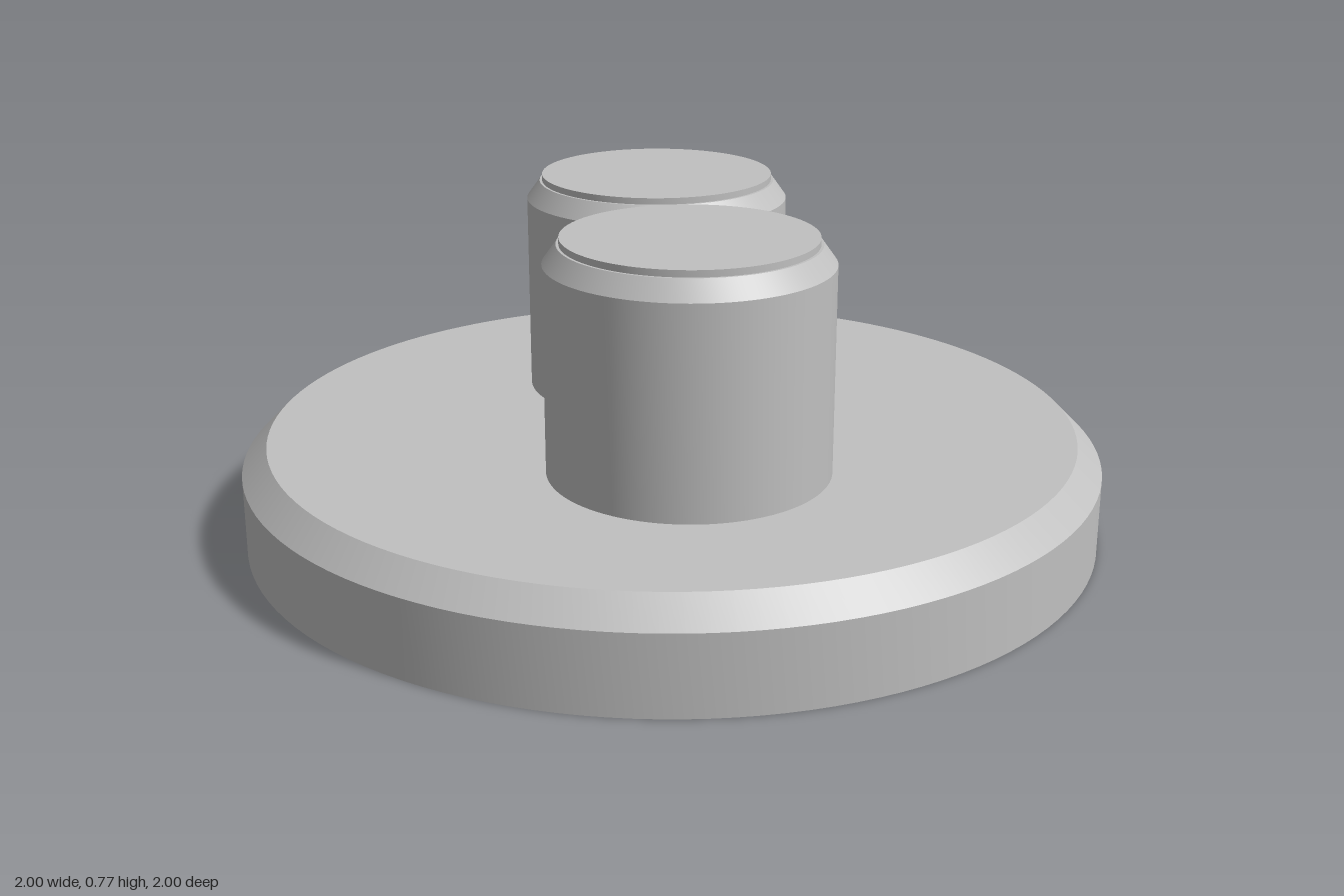
import * as THREE from 'three';
import { toCreasedNormals } from 'three/addons/utils/BufferGeometryUtils.js';

// Solid of revolution with smooth sides and sharp chamfer edges; profile runs bottom to top
function turned(profile, segments) {
  const points = profile.map(([r, y]) => new THREE.Vector2(r, y));
  return toCreasedNormals(new THREE.LatheGeometry(points, segments), Math.PI / 6);
}

export function createModel() {
  const model = new THREE.Group();
  model.name = 'twinPegDisc';

  const grey = new THREE.MeshStandardMaterial({ color: 0xc0c0c0 });
  grey.name = 'light grey';

  // Round base plate with a chamfered upper rim
  const base = new THREE.Mesh(
    turned([[0, 0], [1, 0], [1, 0.18], [0.942, 0.238], [0, 0.238]], 128), grey);
  base.name = 'basePlate';
  model.add(base);

  // Two pegs side by side, each with a chamfered shoulder and a thin raised cap
  const pegGeometry = turned(
    [[0, 0.23], [0.316, 0.23], [0.316, 0.71], [0.285, 0.753], [0.279, 0.753], [0.279, 0.768], [0, 0.768]], 96);
  for (const [name, side] of [['frontPeg', 1], ['backPeg', -1]]) {
    const peg = new THREE.Mesh(pegGeometry, grey);
    peg.name = name;
    peg.position.z = side * 0.311;
    model.add(peg);
  }

  return model;
}
